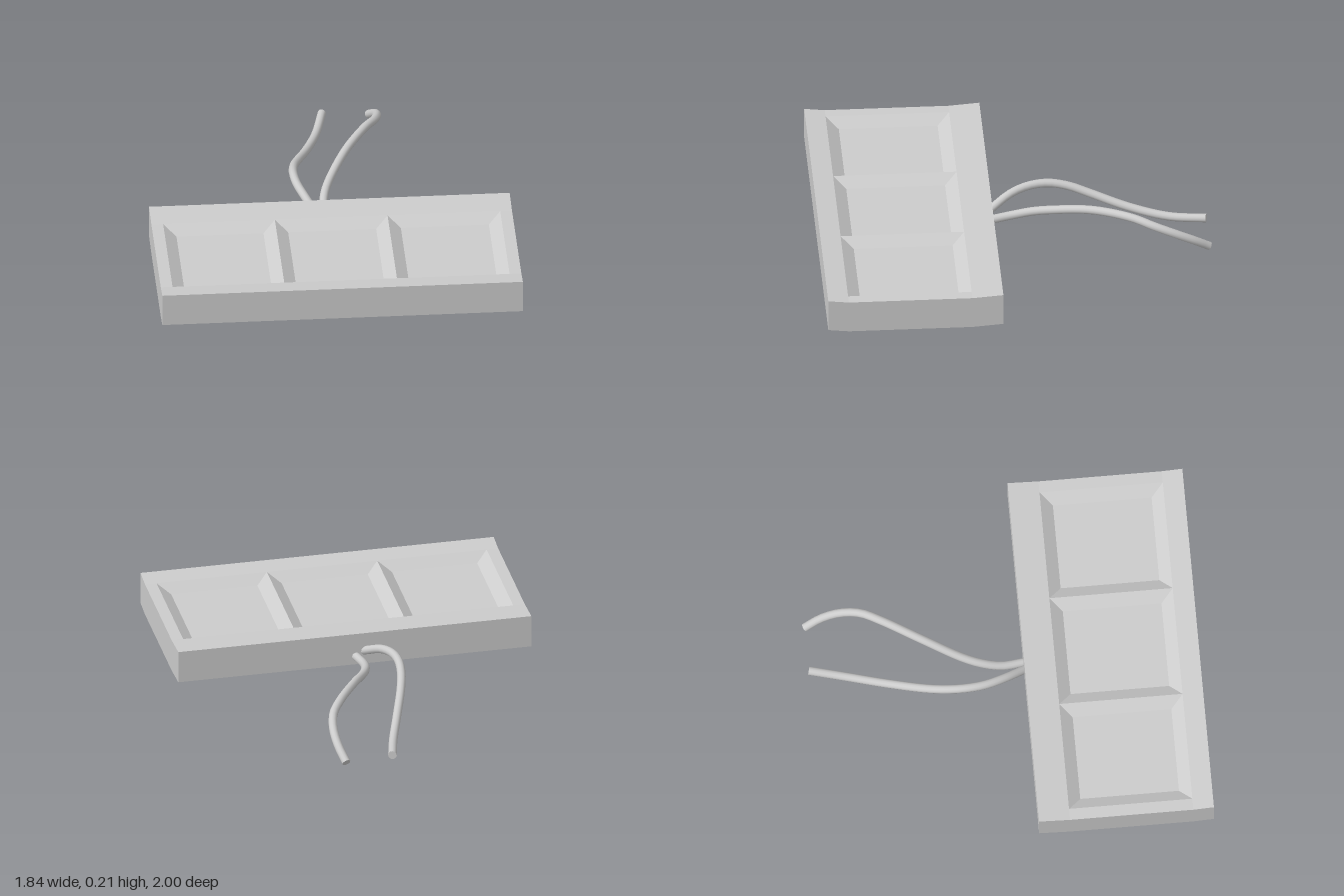
import * as THREE from 'three';

const W = 0.92; // half width of the slab

// side profile from back to front: [z, bottom y, top y]
const PROFILE = [[0.107, 0.012, 0.185], [0.265, 0, 0.173], [0.895, 0, 0.173], [1, 0.012, 0.185]];
const POCKET_X = [-0.86, -0.29, 0.285, 0.86]; // pocket borders
const BEVEL = 0.063, DEPTH = 0.04;

// flat-shaded geometry from four-cornered faces, counter-clockwise from outside
function quadGeometry(quads) {
  const pos = [];
  for (const [a, b, c, d] of quads) pos.push(...a, ...b, ...c, ...a, ...c, ...d);
  const g = new THREE.BufferGeometry();
  g.setAttribute('position', new THREE.Float32BufferAttribute(pos, 3));
  g.computeVertexNormals();
  return g;
}

// upward-facing rectangle, sloping from (z0, y0) to (z1, y1)
const topQuad = (x0, x1, z0, y0, z1, y1) =>
  [[x0, y0, z0], [x0, y1, z1], [x1, y1, z1], [x1, y0, z0]];

function slabGeometry() {
  const quads = [];
  for (let i = 0; i < 3; i++) {
    const [z0, b0, t0] = PROFILE[i], [z1, b1, t1] = PROFILE[i + 1];
    // underside and both ends
    quads.push([[-W, b0, z0], [W, b0, z0], [W, b1, z1], [-W, b1, z1]]);
    quads.push([[W, b0, z0], [W, t0, z0], [W, t1, z1], [W, b1, z1]]);
    quads.push([[-W, b0, z0], [-W, b1, z1], [-W, t1, z1], [-W, t0, z0]]);
    // raised lips at back and front, narrow borders beside the pockets
    if (i !== 1) quads.push(topQuad(-W, W, z0, t0, z1, t1));
    else quads.push(topQuad(-W, POCKET_X[0], z0, t0, z1, t1), topQuad(POCKET_X[3], W, z0, t0, z1, t1));
  }
  // front and back walls
  const [zb, bb, tb] = PROFILE[0], [zf, bf, tf] = PROFILE[3];
  quads.push([[-W, bf, zf], [W, bf, zf], [W, tf, zf], [-W, tf, zf]]);
  quads.push([[W, bb, zb], [-W, bb, zb], [-W, tb, zb], [W, tb, zb]]);
  return quadGeometry(quads);
}

// shallow tray with four sloping walls and a floor
function pocketGeometry(x0, x1) {
  const z0 = PROFILE[1][0], z1 = PROFILE[2][0], y = PROFILE[1][2];
  const ring = (inset, h) => [
    [x0 + inset, h, z0 + inset], [x0 + inset, h, z1 - inset],
    [x1 - inset, h, z1 - inset], [x1 - inset, h, z0 + inset],
  ];
  const rim = ring(0, y), floor = ring(BEVEL, y - DEPTH);
  const quads = [floor];
  for (let i = 0; i < 4; i++) {
    const j = (i + 1) % 4;
    quads.push([rim[i], rim[j], floor[j], floor[i]]);
  }
  return quadGeometry(quads);
}

// round wire through the given points, closed at its free end
function wire(name, points, material) {
  const group = new THREE.Group();
  group.name = name;
  const r = 0.022;
  const curve = new THREE.CatmullRomCurve3(points.map(p => new THREE.Vector3(...p)));
  const tube = new THREE.Mesh(new THREE.TubeGeometry(curve, 32, r, 12), material);
  tube.name = name + 'Tube';
  const cap = new THREE.Mesh(new THREE.CircleGeometry(r, 12), material);
  cap.name = name + 'End';
  const end = curve.getPoint(1);
  cap.position.copy(end);
  cap.lookAt(end.clone().add(curve.getTangent(1)));
  group.add(tube, cap);
  return group;
}

export function createModel() {
  const model = new THREE.Group();
  model.name = 'trayWithWires';
  const grey = new THREE.MeshStandardMaterial({ color: 0xcccccc });
  grey.name = 'light grey';

  const slab = new THREE.Mesh(slabGeometry(), grey);
  slab.name = 'slab';
  model.add(slab);

  for (let i = 0; i < 3; i++) {
    const pocket = new THREE.Mesh(pocketGeometry(POCKET_X[i], POCKET_X[i + 1]), grey);
    pocket.name = 'pocket' + (i + 1);
    model.add(pocket);
  }

  model.add(wire('rightWire', [
    [-0.05, 0.08, 0.12], [-0.115, 0.142, 0], [-0.15, 0.164, -0.1], [-0.161, 0.167, -0.2],
    [-0.152, 0.15, -0.3], [-0.128, 0.12, -0.4], [-0.063, 0.067, -0.6],
    [0, 0.042, -0.8], [0.045, 0.052, -0.985],
  ], grey));
  model.add(wire('leftWire', [
    [-0.005, 0.055, 0.12], [-0.021, 0.07, 0], [-0.01, 0.095, -0.1], [0.022, 0.12, -0.2],
    [0.12, 0.172, -0.4], [0.235, 0.187, -0.6], [0.29, 0.17, -0.7],
    [0.312, 0.137, -0.8], [0.308, 0.09, -0.9], [0.285, 0.036, -0.985],
  ], grey));
  return model;
}
